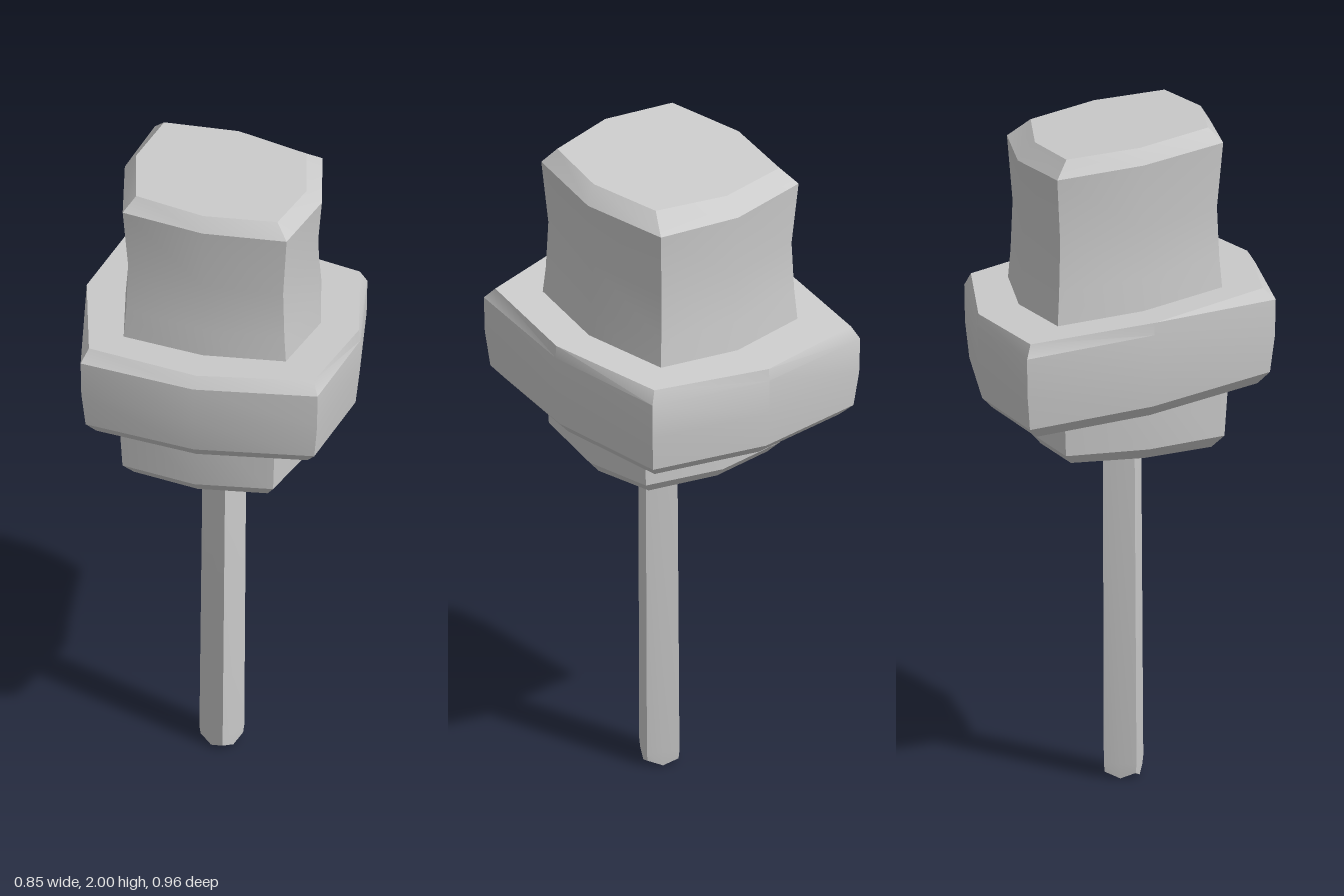
import * as THREE from 'three';
import { toCreasedNormals } from 'three/addons/utils/BufferGeometryUtils.js';

const material = new THREE.MeshStandardMaterial({ color: 0xcccccc });

// Plan outlines [x, z]: four corners with a bowed point between each pair
const CAP = [[-0.19, -0.32], [0.065, -0.28], [0.29, -0.16], [0.28, 0.1],
  [0.17, 0.335], [-0.073, 0.3], [-0.3, 0.19], [-0.285, -0.08]];
const CAP_TOP = [[-0.165, -0.27], [0.05, -0.23], [0.242, -0.11], [0.235, 0.11],
  [0.145, 0.296], [-0.07, 0.272], [-0.26, 0.165], [-0.253, -0.07]];
const BAND = [[-0.268, -0.482], [0.09, -0.405], [0.422, -0.218], [0.39, 0.14],
  [0.255, 0.478], [-0.105, 0.44], [-0.425, 0.288], [-0.395, -0.12]];
const BAND_TOP = [[-0.254, -0.46], [0.09, -0.402], [0.4, -0.21], [0.386, 0.14],
  [0.245, 0.445], [-0.095, 0.42], [-0.4, 0.26], [-0.394, -0.12]];
const BASE = [[-0.17, -0.28], [0.07, -0.235], [0.29, -0.105], [0.27, 0.11],
  [0.135, 0.345], [-0.1, 0.31], [-0.31, 0.2], [-0.275, -0.05]];
const STEM = [[0, -0.07], [0.034, -0.036], [0.065, 0], [0.034, 0.036],
  [0, 0.07], [-0.034, 0.036], [-0.065, 0], [-0.034, -0.036]];

// One cross-section: scaled outline on a plane tilted by slopes tx, tz
function ring(outline, y, { s = 1, tx = 0, tz = 0, dx = 0, dz = 0 } = {}) {
  return outline.map(([x, z]) =>
    new THREE.Vector3(x * s + dx, y + tx * x * s + tz * z * s, z * s + dz));
}

// Closed skin over cross-sections listed from bottom to top
function loft(name, rings) {
  const pos = [];
  const tri = (...points) => points.forEach((p) => pos.push(p.x, p.y, p.z));
  const n = rings[0].length;
  const last = rings[rings.length - 1];
  const centre = (r) => r.reduce((c, p) => c.add(p), new THREE.Vector3()).divideScalar(n);
  const low = centre(rings[0]);
  const high = centre(last);
  for (let i = 0; i < n; i++) {
    const j = (i + 1) % n;
    for (let k = 0; k < rings.length - 1; k++) {
      const a = rings[k], b = rings[k + 1];
      tri(a[i], b[i], b[j]);
      tri(a[i], b[j], a[j]);
    }
    tri(low, rings[0][i], rings[0][j]);
    tri(high, last[j], last[i]);
  }
  const geometry = new THREE.BufferGeometry();
  geometry.setAttribute('position', new THREE.Float32BufferAttribute(pos, 3));
  const mesh = new THREE.Mesh(toCreasedNormals(geometry, 0.5), material);
  mesh.name = name;
  return mesh;
}

export function createModel() {
  const group = new THREE.Group();
  group.name = 'carvedPost';
  const bandTilt = { tx: -0.03, tz: 0.105 };
  const capTilt = { tx: -0.055, tz: 0.09 };

  // Thin diamond stem with a slightly notched foot
  const foot = STEM.map(([x, z], i) =>
    new THREE.Vector3(x * 0.95 - 0.008, i % 2 ? 0 : 0.018, z * 0.95 + 0.043));
  group.add(loft('stem', [
    foot,
    ring(STEM, 0.045, { dx: -0.008, dz: 0.043 }),
    ring(STEM, 1.06, { s: 0.97, dz: 0.043 }),
  ]));

  // Chamfered block under the band
  group.add(loft('lowerBlock', [
    ring(BASE, 1.03, { s: 0.86, tz: 0.015 }),
    ring(BASE, 1.065, { s: 0.97, tz: 0.03 }),
    ring(BASE, 1.26, { s: 1.01, tz: 0.08 }),
  ]));

  // Wide tilted band with chamfered rims
  group.add(loft('band', [
    ring(BAND, 1.2, { s: 0.89, ...bandTilt }),
    ring(BAND, 1.235, { s: 0.965, ...bandTilt }),
    ring(BAND, 1.345, { s: 0.995, ...bandTilt }),
    ring(BAND, 1.455, { ...bandTilt }),
    ring(BAND_TOP, 1.492, { ...bandTilt }),
  ]));

  // Waisted cap with a chamfered, sloping top
  group.add(loft('cap', [
    ring(CAP, 1.42, { s: 1.01, ...bandTilt }),
    ring(CAP, 1.58, { s: 0.965, ...capTilt }),
    ring(CAP, 1.73, { s: 0.945, ...capTilt }),
    ring(CAP, 1.925, { ...capTilt }),
    ring(CAP_TOP, 1.97, { ...capTilt }),
  ]));
  return group;
}
